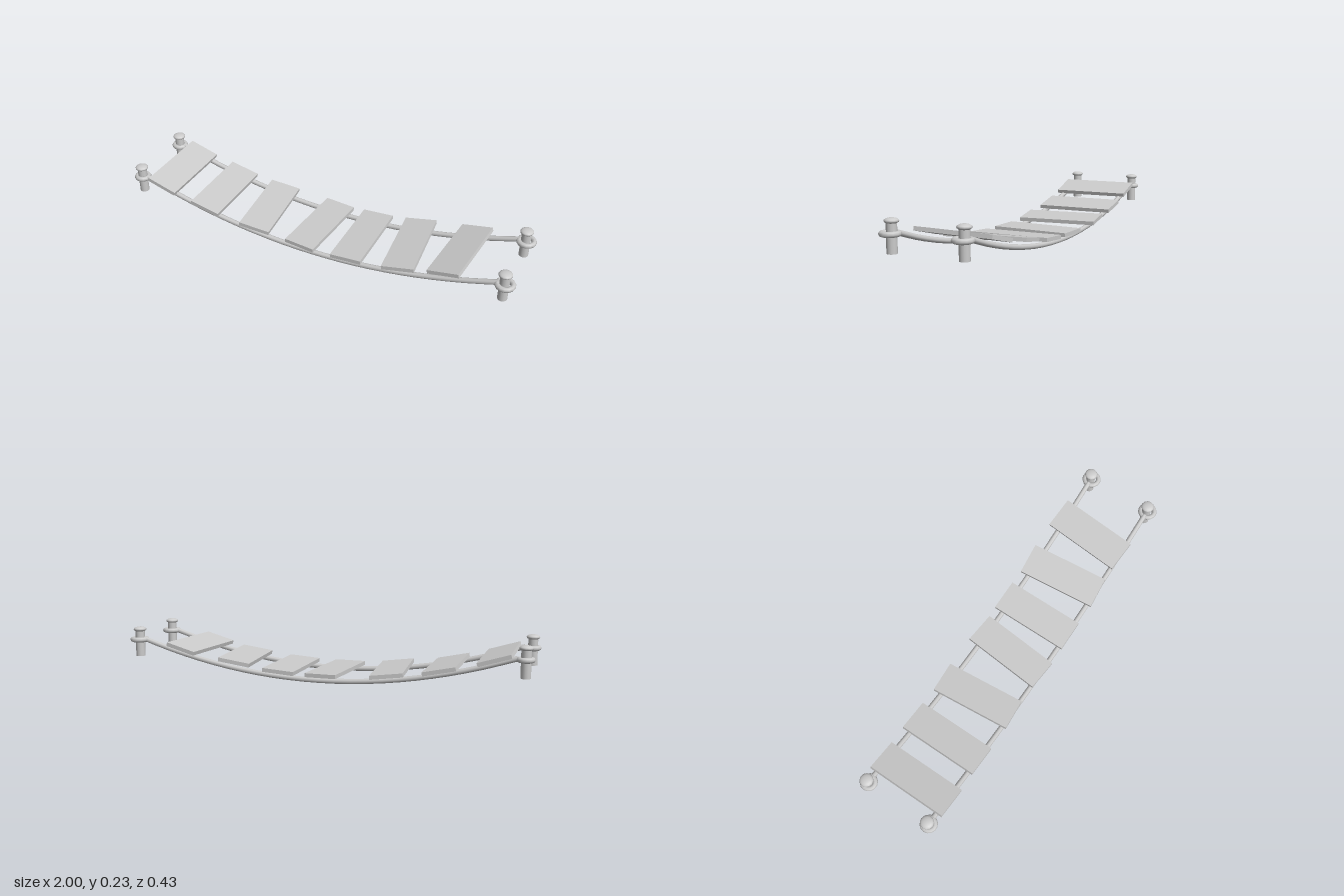
import * as THREE from 'three';

const grey = new THREE.MeshStandardMaterial({ color: 0xcccccc });
const flat = new THREE.MeshStandardMaterial({ color: 0xcccccc, flatShading: true });

// Sagging line followed by both ropes and by the planks
const sag = (x) => 0.0125 + 0.155 * (x / 0.92) ** 2;
const slope = (x) => (2 * 0.155 * x) / 0.92 ** 2;

function add(parent, name, geometry, material, x, y, z) {
  const mesh = new THREE.Mesh(geometry, material);
  mesh.name = name;
  mesh.position.set(x, y, z);
  parent.add(mesh);
  return mesh;
}

function makeRope(z) {
  const points = [];
  for (let i = 0; i <= 12; i++) {
    const x = -0.925 + (1.85 * i) / 12;
    points.push(new THREE.Vector3(x, sag(x), z));
  }
  return new THREE.TubeGeometry(new THREE.CatmullRomCurve3(points), 24, 0.0125, 8);
}

// Post with a flattened cap and a loop of rope around it
function makePost(x, z, ringX, ringZ, ringRadius) {
  const post = new THREE.Group();
  post.name = 'post';
  add(post, 'postShaft', new THREE.CylinderGeometry(0.023, 0.023, 0.13, 12), grey, x, 0.147, z);
  const cap = add(post, 'postCap', new THREE.SphereGeometry(0.032, 12, 8), grey, x, 0.217, z);
  cap.scale.y = 0.42;
  const ring = new THREE.TorusGeometry(ringRadius, 0.0125, 8, 14).rotateX(Math.PI / 2);
  add(post, 'ropeLoop', ring, grey, ringX, 0.165, ringZ);
  return post;
}

export function createModel() {
  const bridge = new THREE.Group();
  bridge.name = 'ropeBridge';

  // Ropes and end posts
  for (const side of [1, -1]) {
    add(bridge, 'rope', makeRope(side * 0.169), grey, 0, 0, 0);
    const postZ = side * 0.169 - 0.004;
    bridge.add(makePost(-0.96, postZ + 0.002, -0.958, side * 0.169, 0.0295));
    bridge.add(makePost(0.947, postZ, 0.952, side * 0.169, 0.0355));
  }

  // Planks: x, lift above the rope, z offset, yaw
  const planks = [
    [-0.825, 0.02, 0, 0],
    [-0.58, 0.021, -0.006, 0],
    [-0.32, 0.028, -0.012, 0.09],
    [-0.035, 0.029, -0.011, -0.085],
    [0.195, 0.029, -0.008, 0],
    [0.44, 0.034, -0.011, 0.09],
    [0.69, 0.034, -0.012, -0.085],
  ];
  const plankGeometry = new THREE.BoxGeometry(0.157, 0.019, 0.4);
  for (const [x, lift, z, yaw] of planks) {
    const plank = add(bridge, 'plank', plankGeometry, flat, x, sag(x) + lift, z);
    plank.rotation.set(0, yaw, Math.atan(slope(x)));
  }
  return bridge;
}
